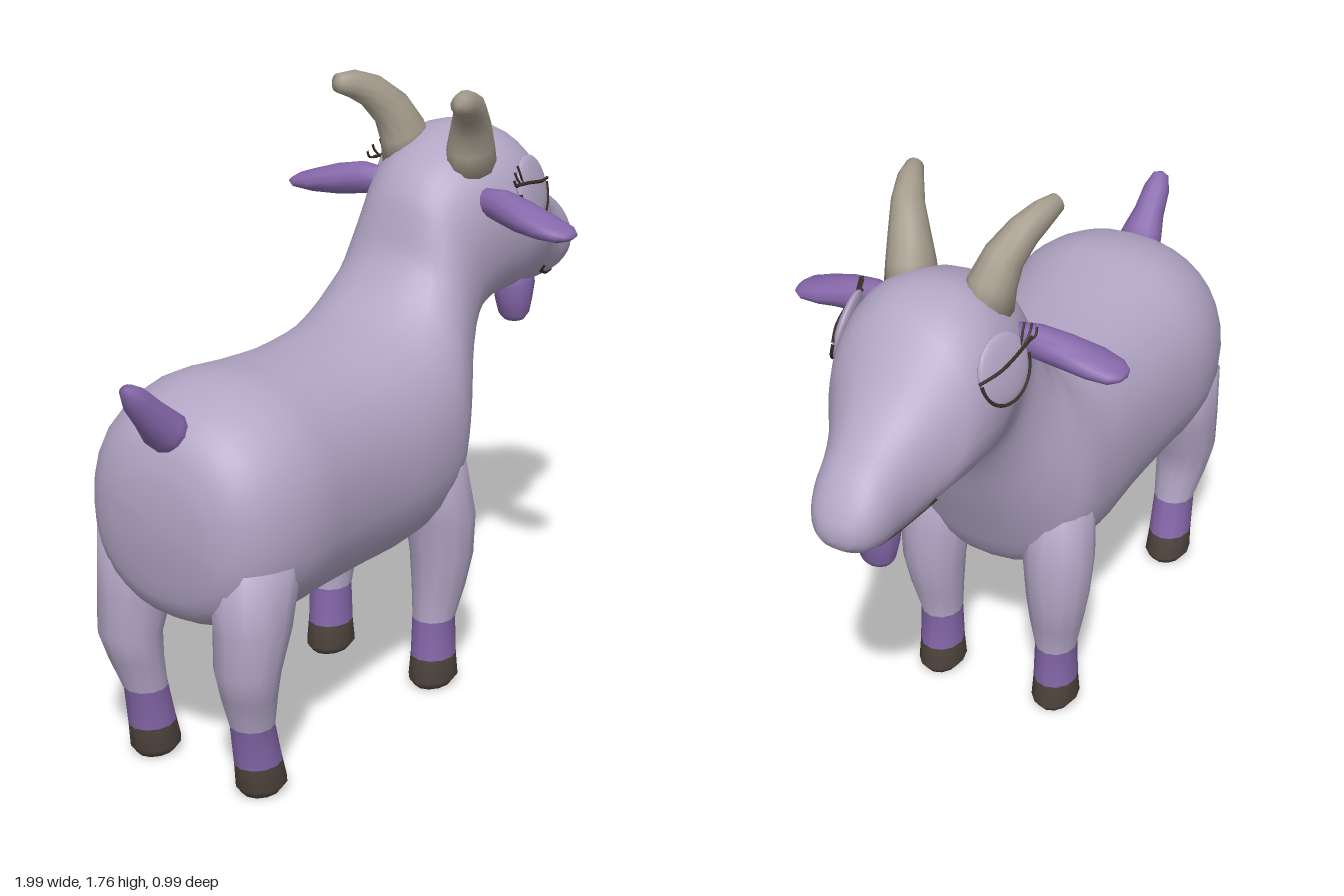
import * as THREE from 'three';

const mat = (name, color) => Object.assign(new THREE.MeshStandardMaterial({ color }), { name });
const V3 = (x, y, z) => new THREE.Vector3(x, y, z);

export function createModel() {
  const coat = mat('lavender coat', 0xb2a6c5);
  const purple = mat('purple trim', 0x8668ab);
  const hoof = mat('dark hoof', 0x51463f);
  const horn = mat('horn', 0xa49b8c);
  const line = mat('dark line', 0x3b302b);
  const goat = new THREE.Group();
  goat.name = 'goat';

  const add = (name, geometry, material, parent = goat) => {
    const mesh = new THREE.Mesh(geometry, material);
    mesh.name = name;
    parent.add(mesh);
    return mesh;
  };

  // Closed skin over rings of points; bands gives the material index of each span
  function loft(rings, start, end, bands) {
    const n = rings[0].length, pos = [], idx = [];
    const geo = new THREE.BufferGeometry();
    const points = [...rings.flat(), start, end];
    points.forEach(p => pos.push(p.x, p.y, p.z));
    const s = rings.length * n, last = (rings.length - 1) * n;
    for (let j = 0; j < n; j++) idx.push(s, (j + 1) % n, j);
    for (let i = 0; i < rings.length - 1; i++) {
      for (let j = 0; j < n; j++) {
        const a = i * n + j, b = i * n + (j + 1) % n;
        idx.push(a, b, a + n, b, b + n, a + n);
      }
    }
    for (let j = 0; j < n; j++) idx.push(s + 1, last + j, last + (j + 1) % n);
    geo.setIndex(idx);
    geo.setAttribute('position', new THREE.Float32BufferAttribute(pos, 3));
    geo.computeVertexNormals();
    if (bands) {
      geo.addGroup(0, n * 3, bands[0]);
      bands.forEach((m, i) => geo.addGroup(n * 3 + i * n * 6, n * 6, m));
      geo.addGroup(idx.length - n * 3, n * 3, bands[bands.length - 1]);
    }
    return geo;
  }

  function ring(c, U, V, n, power = 1) {
    const bend = v => Math.sign(v) * Math.abs(v) ** power;
    return Array.from({ length: n }, (_, j) => {
      const a = (j / n) * Math.PI * 2;
      return c.clone().addScaledVector(U, bend(Math.cos(a))).addScaledVector(V, bend(Math.sin(a)));
    });
  }

  // Tapered limb through sections [x, y, z, radiusU, radiusV], mirrored by side
  function limb(sections, ref, { side = 1, bands, axis, n = 12, tip = 0.01 } = {}) {
    const cs = sections.map(p => V3(p[0], p[1], p[2] * side));
    const dir = i => axis || cs[Math.min(i + 1, cs.length - 1)].clone().sub(cs[Math.max(i - 1, 0)]).normalize();
    const rings = sections.map((p, i) => {
      const t = dir(i), U = ref.clone().cross(t).normalize(), V = t.clone().cross(U);
      return ring(cs[i], U.multiplyScalar(p[3]), V.multiplyScalar(p[4]), n);
    });
    const end = cs.length - 1;
    return loft(rings, cs[0].clone().addScaledVector(dir(0), -0.004),
      cs[end].clone().addScaledVector(dir(end), tip), bands);
  }

  // Body, neck and head: topX, topY, bottomX, bottomY, half width
  const trunk = [
    [-0.89, 0.92, -0.885, 0.68, 0.15], [-0.85, 1.03, -0.85, 0.54, 0.245],
    [-0.77, 1.1, -0.76, 0.48, 0.31], [-0.62, 1.14, -0.62, 0.46, 0.34],
    [-0.45, 1.125, -0.45, 0.46, 0.325], [-0.25, 1.115, -0.25, 0.455, 0.31],
    [-0.05, 1.135, -0.02, 0.455, 0.31], [0.04, 1.18, 0.14, 0.5, 0.3],
    [0.09, 1.23, 0.22, 0.65, 0.27], [0.13, 1.29, 0.28, 0.79, 0.235],
    [0.155, 1.37, 0.34, 0.93, 0.21], [0.18, 1.44, 0.41, 1.025, 0.2],
    [0.235, 1.51, 0.49, 1.06, 0.215], [0.33, 1.565, 0.57, 1.065, 0.235],
    [0.45, 1.6, 0.64, 1.07, 0.235], [0.57, 1.57, 0.69, 1.065, 0.215],
    [0.66, 1.485, 0.73, 1.05, 0.18], [0.74, 1.395, 0.77, 1.04, 0.15],
    [0.83, 1.325, 0.83, 1.035, 0.125], [0.91, 1.27, 0.89, 1.04, 0.11],
    [0.96, 1.21, 0.945, 1.06, 0.085], [0.985, 1.165, 0.98, 1.09, 0.05],
  ];
  const tops = new THREE.CatmullRomCurve3(trunk.map(r => V3(r[0], r[1], r[4])));
  const bottoms = new THREE.CatmullRomCurve3(trunk.map(r => V3(r[2], r[3], 0)));
  const trunkRings = Array.from({ length: 64 }, (_, i) => {
    const t = tops.getPoint(i / 63), b = bottoms.getPoint(i / 63), w = t.z;
    t.z = 0;
    const c = t.clone().add(b).multiplyScalar(0.5);
    return ring(c, t.sub(c), V3(0, 0, w), 32, 0.9);
  });
  const body = add('body', loft(trunkRings, V3(-0.902, 0.8, 0), V3(0.997, 1.125, 0)), coat);

  // Finds the skin at a side point so lines lie on it
  const caster = new THREE.Raycaster();
  function onSkin(x, y, side) {
    caster.set(V3(x, y, side), V3(0, 0, -side));
    const hit = caster.intersectObject(body)[0];
    return V3(x, y, hit ? hit.point.z + side * 0.003 : side * 0.08);
  }
  const stroke = (points, r) =>
    new THREE.TubeGeometry(new THREE.CatmullRomCurve3(points), 16, r, 6);

  // Legs from hoof to hip: x, y, z, radius z, radius x
  const frontLeg = [
    [0.1, 0.005, 0.19, 0.05, 0.065], [0.1, 0.03, 0.19, 0.068, 0.083],
    [0.1, 0.1, 0.19, 0.064, 0.072], [0.1, 0.22, 0.19, 0.061, 0.066],
    [0.112, 0.32, 0.197, 0.078, 0.08], [0.118, 0.42, 0.202, 0.092, 0.093],
    [0.11, 0.55, 0.2, 0.105, 0.1], [0.08, 0.72, 0.19, 0.1, 0.1],
  ];
  const hindLeg = [
    [-0.7, 0.005, 0.19, 0.05, 0.06], [-0.7, 0.03, 0.19, 0.068, 0.078],
    [-0.713, 0.1, 0.19, 0.064, 0.072], [-0.735, 0.22, 0.19, 0.062, 0.064],
    [-0.76, 0.32, 0.2, 0.08, 0.077], [-0.772, 0.4, 0.207, 0.092, 0.09],
    [-0.745, 0.52, 0.205, 0.105, 0.112], [-0.72, 0.7, 0.19, 0.13, 0.13],
  ];
  const hornPath = [
    [0.37, 1.5, 0.11, 0.09, 0.07], [0.355, 1.57, 0.12, 0.075, 0.065],
    [0.325, 1.64, 0.14, 0.06, 0.055], [0.275, 1.695, 0.17, 0.05, 0.045],
    [0.215, 1.725, 0.195, 0.04, 0.036], [0.165, 1.735, 0.21, 0.027, 0.025],
  ];
  const earPath = [
    [0.34, 1.42, 0.17, 0.035, 0.03], [0.335, 1.415, 0.24, 0.048, 0.042],
    [0.325, 1.4, 0.32, 0.046, 0.055], [0.32, 1.385, 0.4, 0.034, 0.064],
    [0.32, 1.375, 0.46, 0.022, 0.056], [0.32, 1.372, 0.485, 0.01, 0.033],
  ];
  const X = V3(1, 0, 0), Y = V3(0, 1, 0), Z = V3(0, 0, 1);
  const bands = [0, 0, 1, 2, 2, 2, 2];

  for (const side of [1, -1]) {
    const word = side > 0 ? 'near' : 'far';
    add(word + 'FrontLeg', limb(frontLeg, X, { side, bands, axis: Y }), [hoof, purple, coat]);
    add(word + 'HindLeg', limb(hindLeg, X, { side, bands, axis: Y }), [hoof, purple, coat]);
    add(word + 'Horn', limb(hornPath, Z, { side }), horn);
    add(word + 'Ear', limb(earPath, X, { side }), purple);

    // Mouth line with a small upturned corner
    const mouth = [[0.715, 1.125], [0.725, 1.1], [0.77, 1.08], [0.82, 1.06], [0.875, 1.052]];
    add(word + 'Mouth', stroke(mouth.map(([x, y]) => onSkin(x, y, side)), 0.005), line);

    // Eye: shallow lens, lower rim, lid line and lashes
    const eye = new THREE.Group();
    eye.name = word + 'Eye';
    eye.position.set(0.505, 1.425, 0.23 * side);
    eye.rotation.set(-0.25 * side, 0.2 * side, 0);
    goat.add(eye);
    add('eyeLens', new THREE.SphereGeometry(0.097, 24, 12).scale(1, 1, 0.2), coat, eye);
    const rim = add('eyeRim', new THREE.TorusGeometry(0.095, 0.005, 6, 24, Math.PI), line, eye);
    rim.rotation.z = Math.PI;
    rim.position.z = 0.006 * side;
    const draw = (name, pts, r) =>
      add(name, stroke(pts.map(([x, y, z]) => V3(x, y, z * side)), r), line, eye);
    draw('eyelid', [[-0.12, 0.03, 0.006], [-0.06, 0.025, 0.018], [0.03, 0.012, 0.021], [0.105, 0.008, 0.006]], 0.005);
    [[-0.14, 0.05], [-0.125, 0.07], [-0.1, 0.085]].forEach(([x, y], i) =>
      draw('eyelash', [[-0.1 + i * 0.015, 0.026, 0.008], [x + 0.012, y - 0.02, 0.012], [x, y, 0.014]], 0.0035));
  }

  // Tail
  add('tail', limb([
    [-0.8, 1.02, 0, 0.06, 0.07], [-0.85, 1.06, 0, 0.058, 0.062], [-0.895, 1.11, 0, 0.047, 0.046],
    [-0.945, 1.165, 0, 0.038, 0.04], [-0.975, 1.2, 0, 0.02, 0.025],
  ], Z), purple);

  // Beard
  add('beard', limb([
    [0.77, 1.08, 0, 0.06, 0.055], [0.77, 1.03, 0, 0.07, 0.062], [0.77, 0.975, 0, 0.056, 0.057],
    [0.773, 0.93, 0, 0.045, 0.048], [0.775, 0.912, 0, 0.03, 0.035],
  ], Z, { tip: 0.005 }), purple);

  return goat;
}
